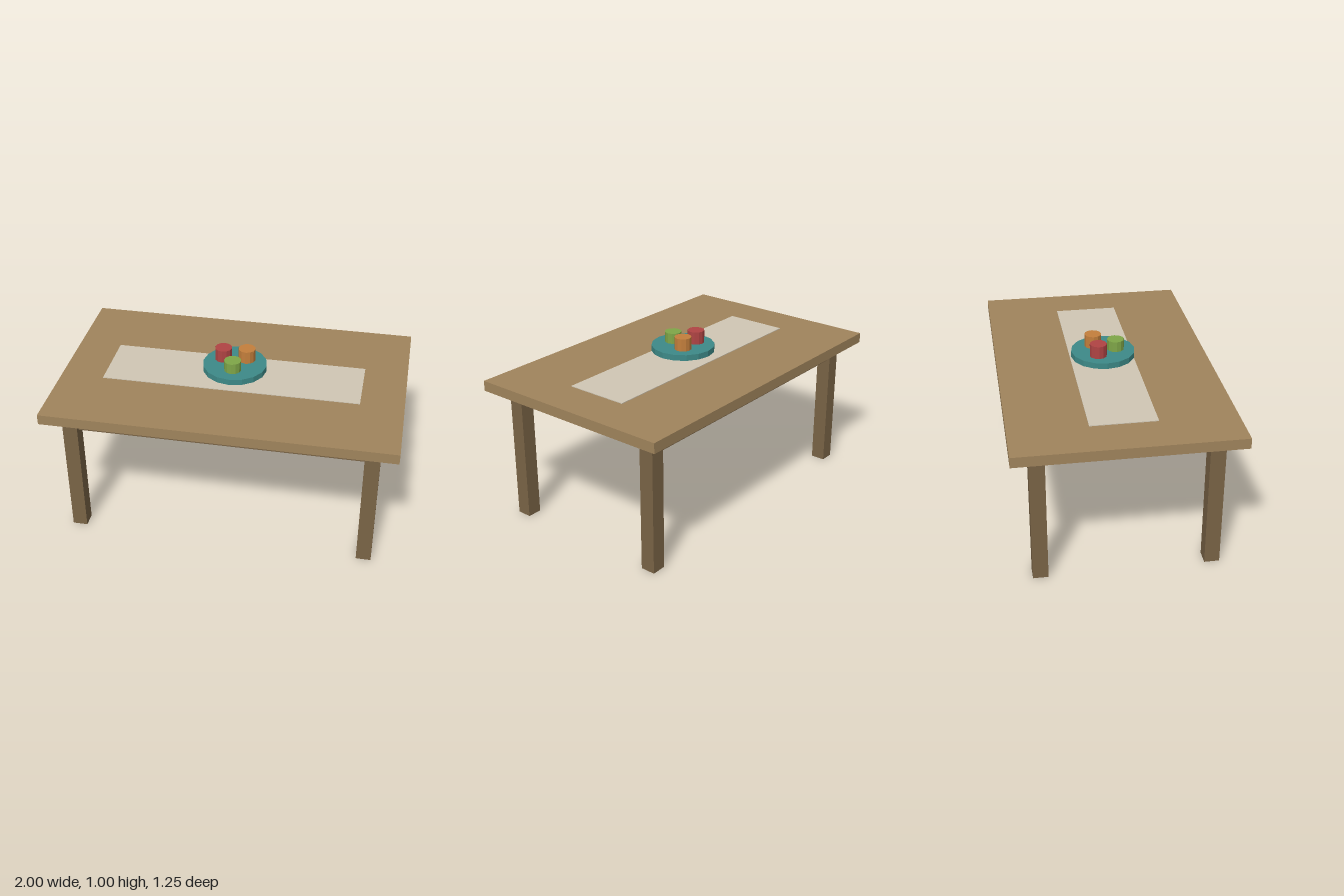
import * as THREE from 'three';

export function createModel() {
  const model = new THREE.Group();
  const material = (color) => new THREE.MeshStandardMaterial({ color, flatShading: true });
  const topWood = material(0xa0845c);
  const legWood = material(0x7a6446);
  const teal = material(0x3d8a88);

  function add(name, geometry, mat, x, y, z) {
    const mesh = new THREE.Mesh(geometry, mat);
    mesh.name = name;
    mesh.position.set(x, y, z);
    model.add(mesh);
  }
  // Parts are placed by their bottom and top heights
  const box = (name, mat, w, d, y0, y1, x = 0, z = 0) =>
    add(name, new THREE.BoxGeometry(w, y1 - y0, d), mat, x, (y0 + y1) / 2, z);
  const cylinder = (name, mat, r, sides, y0, y1, x = 0, z = 0) =>
    add(name, new THREE.CylinderGeometry(r, r, y1 - y0, sides), mat, x, (y0 + y1) / 2, z);

  // Table top
  box('tableTop', topWood, 2, 1.25, 0.79, 0.85);

  // Legs and the long rails between them
  for (const [zName, sz] of [['front', 1], ['back', -1]]) {
    for (const [xName, sx] of [['Left', 1], ['Right', -1]]) {
      box(`${zName}${xName}Leg`, legWood, 0.086, 0.086, 0, 0.79, sx * 0.857, sz * 0.482);
    }
    box(`${zName}Rail`, legWood, 1.63, 0.04, 0.69, 0.79, 0, sz * 0.482);
  }

  // Cloth runner
  box('runner', material(0xd0c7b5), 1.5, 0.375, 0.85, 0.854);

  // Raised tray
  cylinder('trayBase', teal, 0.0875, 16, 0.854, 0.89);
  cylinder('trayPlate', teal, 0.1875, 16, 0.89, 0.925);

  // Cups
  cylinder('redCup', material(0xb04444), 0.05, 12, 0.925, 1.0, -0.075, -0.0375);
  cylinder('orangeCup', material(0xc47f3c), 0.05, 12, 0.925, 1.0, 0.0625, -0.05);
  cylinder('greenCup', material(0x7fa648), 0.05, 12, 0.925, 0.9875, 0, 0.075);

  return model;
}
